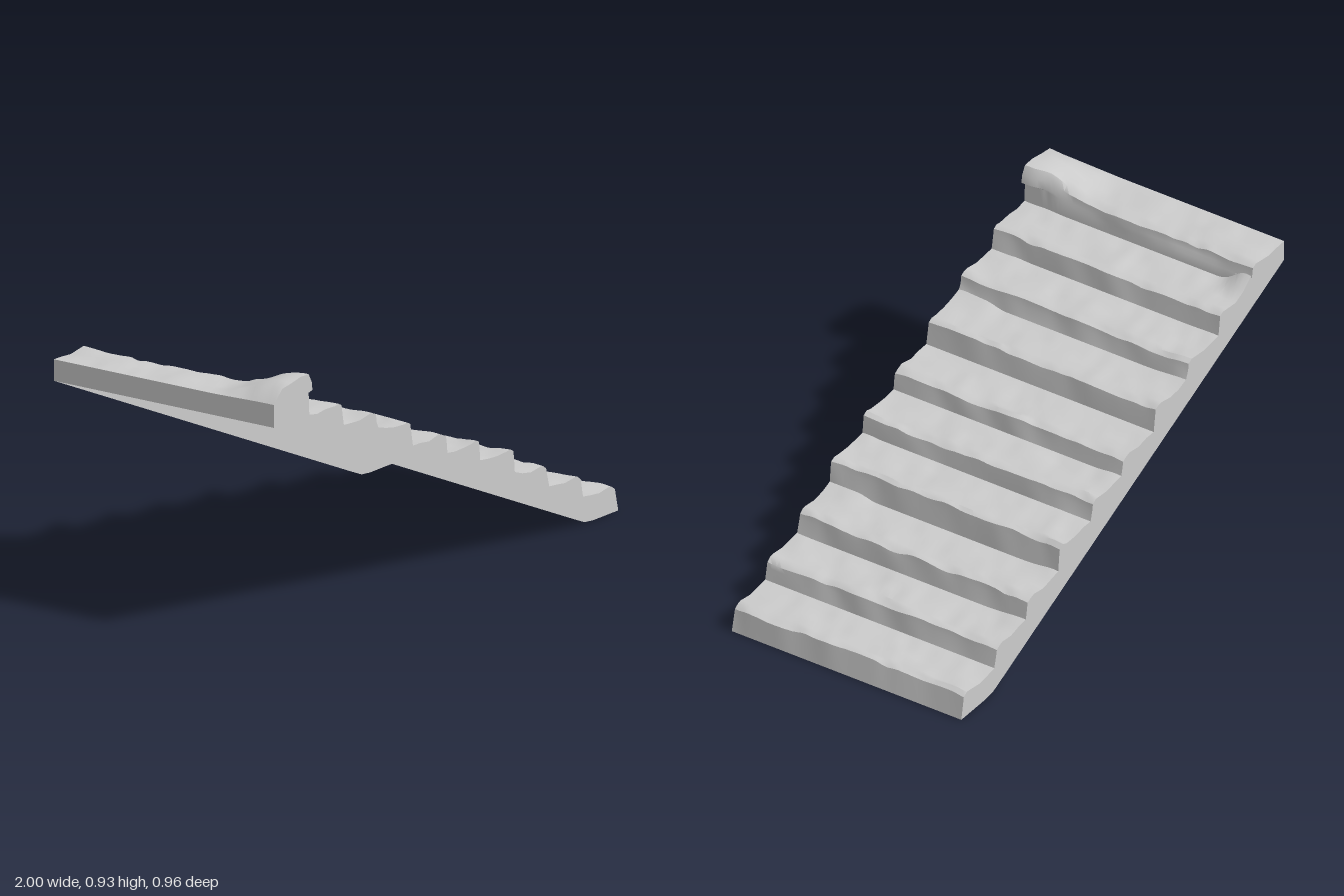
import * as THREE from 'three';
import { toCreasedNormals } from 'three/addons/utils/BufferGeometryUtils.js';

const ROWS = 48;
// x of each riser, and the height of each tread from top to bottom
const RISERS = [-1, -0.8, -0.6, -0.4, -0.2, 0, 0.19, 0.39, 0.59, 0.785, 0.985];
const TREADS = [0.857, 0.77, 0.686, 0.61, 0.515, 0.44, 0.365, 0.262, 0.175, 0.093];
const UNDERSIDE = [[0.85, 0], [0.8, 0.005], [0.74, 0.03]];

// smooth seeded noise along one axis, about -1..1
const hash = (n) => {
  const s = Math.sin(n * 127.1 + 11.7) * 43758.5453;
  return (s - Math.floor(s)) * 2 - 1;
};
const noise = (t, seed) => {
  const i = Math.floor(t), f = t - i, k = f * f * (3 - 2 * f);
  return hash(i + seed * 57) * (1 - k) + hash(i + 1 + seed * 57) * k;
};
const smooth = THREE.MathUtils.smoothstep;

// worn stair outline at depth z: up the back end, down the treads, down the front end
function profile(z) {
  const pts = [[-1, 0.78]];
  TREADS.forEach((h, s) => {
    const x0 = RISERS[s], x1 = RISERS[s + 1];
    const edge = smooth(Math.abs(z), 0.3, 0.47);
    const top = s === 0;
    // raised, overhanging corner on the top step
    const horn = top ? smooth(z, 0.18, 0.46) : 0;
    const nosePush = top ? 0.022 * smooth(z, 0.36, 0.45) : 0;
    // rubble left in the inner corners
    let heap = top ? 0 : 0.006 + 0.012 * edge * Math.max(0, noise(z * 9, s + 40));
    if (s === 1) heap += 0.045 * smooth(-z, 0.34, 0.46);
    if (s === 3 || s === 7) heap += 0.015 * smooth(z, 0.28, 0.36);
    const wob = (k) => 0.005 * noise(z * 8, s * 7 + k) + 0.003 * noise(z * 21, s * 7 + k + 3);
    const noseX = x1 - 0.007 + 0.006 * noise(z * 10, s + 90) + nosePush;
    const chip = 0.004 + 0.006 * Math.max(0, noise(z * 13, s + 70));
    const w = x1 - x0;
    const foot = top ? [-1, h + 0.005 * horn] : [x0 + 0.006, h + heap];
    pts.push(
      foot,
      [x0 + 0.05, h + heap * 0.35 + wob(1) + 0.052 * horn],
      [x0 + w * 0.5, h + wob(2) + 0.058 * horn],
      [x0 + w * 0.78, h + wob(4) + 0.004 * edge + 0.064 * horn],
      [noseX - 0.018, h + wob(5) + 0.005 * edge + 0.064 * horn],
      [noseX, h - chip + wob(5) + 0.045 * horn],
    );
    if (s < 9) pts.push([noseX + 0.004, h - 0.03 + 0.035 * horn]);
    if (top) pts.push([x1 + 0.002, h - 0.045 + 0.045 * horn]);
  });
  pts.push([0.995, 0]);
  return pts;
}

// the flanks are slightly out of parallel
const frontZ = (x) => 0.478 - 0.004 * (x + 1);
const backZ = (x) => -0.463 - 0.011 * (x + 1);

// skin of the steps with both end faces, open below
function stepSkin() {
  const pos = [], index = [];
  let n = 0;
  for (let j = 0; j <= ROWS; j++) {
    const t = j / ROWS;
    const row = profile(THREE.MathUtils.lerp(-0.475, 0.475, t));
    n = row.length;
    for (const [x, y] of row) pos.push(x, y, THREE.MathUtils.lerp(backZ(x), frontZ(x), t));
  }
  for (let j = 0; j < ROWS; j++) {
    for (let i = 0; i < n - 1; i++) {
      const a = j * n + i, b = a + n;
      index.push(a, b, a + 1, b, b + 1, a + 1);
    }
  }
  const g = new THREE.BufferGeometry();
  g.setAttribute('position', new THREE.Float32BufferAttribute(pos, 3));
  g.setIndex(index);
  return toCreasedNormals(g, 0.7);
}

// thin flank closing the stair outline down to the sloping underside
function flank(z, zAt) {
  const outline = [...profile(z), ...UNDERSIDE].map(([x, y]) => new THREE.Vector2(x, y));
  const g = new THREE.ShapeGeometry(new THREE.Shape(outline));
  const p = g.attributes.position;
  for (let i = 0; i < p.count; i++) p.setZ(i, zAt(p.getX(i)));
  if (z < 0) {
    // turn the back flank to face outward
    const idx = g.index.array;
    for (let i = 0; i < idx.length; i += 3) [idx[i], idx[i + 1]] = [idx[i + 1], idx[i]];
  }
  g.computeVertexNormals();
  return g;
}

export function createModel() {
  const group = new THREE.Group();
  group.name = 'wornStaircase';
  const stone = new THREE.MeshStandardMaterial({ color: 0xcccccc, side: THREE.DoubleSide });
  const add = (name, geometry) => {
    const mesh = new THREE.Mesh(geometry, stone);
    mesh.name = name;
    group.add(mesh);
  };
  add('steps', stepSkin());
  add('frontFlank', flank(0.475, frontZ));
  add('backFlank', flank(-0.475, backZ));
  return group;
}
